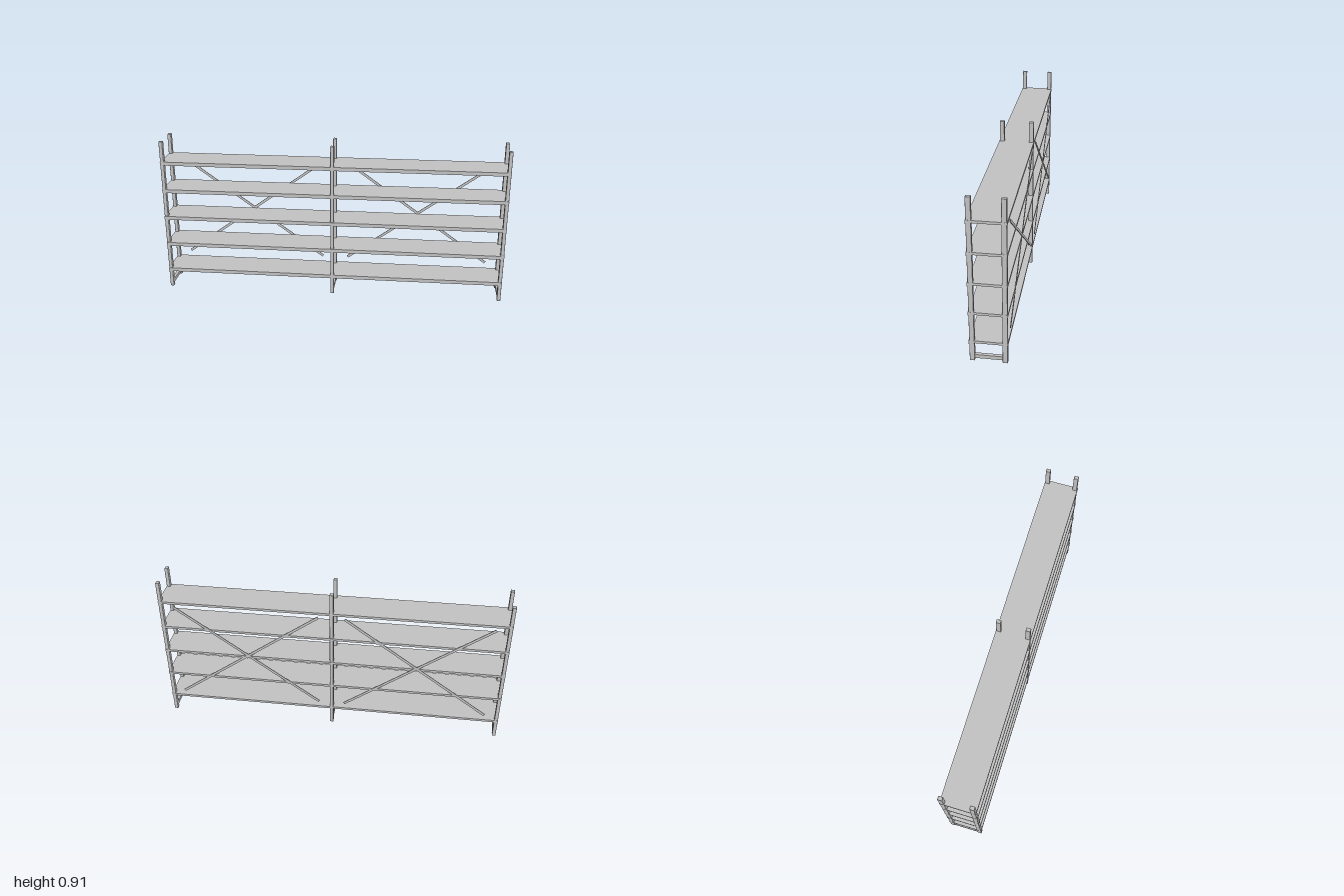
import * as THREE from 'three';
import { RoundedBoxGeometry } from 'three/addons/geometries/RoundedBoxGeometry.js';

export function createModel() {
  const model = new THREE.Group();
  model.name = 'shelvingRack';
  const steel = new THREE.MeshStandardMaterial({ color: 0xc0c0c0 });
  steel.name = 'greySteel';

  const add = (name, geometry, x, y, z, parent = model) => {
    const mesh = new THREE.Mesh(geometry, steel);
    mesh.name = name;
    mesh.position.set(x, y, z);
    parent.add(mesh);
    return mesh;
  };

  // Three upright frames: a post front and back, joined by a bar near the floor
  const height = 0.912;
  const postGeometry = new RoundedBoxGeometry(0.021, height, 0.026, 1, 0.002);
  const barGeometry = new THREE.BoxGeometry(0.018, 0.021, 0.15);
  for (const x of [-0.986, 0, 0.986]) {
    const frame = new THREE.Group();
    frame.name = 'uprightFrame';
    frame.position.x = x;
    add('frontPost', postGeometry, 0, height / 2, 0.084, frame);
    add('backPost', postGeometry, 0, height / 2, -0.083, frame);
    add('footBar', barGeometry, 0, 0.026, 0, frame);
    model.add(frame);
  }

  // Five shelves, each a thin deck with a deeper front lip
  const deckGeometry = new THREE.BoxGeometry(1.994, 0.014, 0.194);
  const lipGeometry = new THREE.BoxGeometry(1.994, 0.021, 0.004);
  for (let i = 0; i < 5; i++) {
    const top = 0.121 + i * 0.168;
    const shelf = new THREE.Group();
    shelf.name = 'shelf';
    add('deck', deckGeometry, 0, top - 0.007, -0.001, shelf);
    add('frontLip', lipGeometry, 0, top - 0.0105, 0.098, shelf);
    model.add(shelf);
  }

  // Crossed flat braces on the back of each bay
  const dx = 0.835, dy = 0.605;
  const braceGeometry = new THREE.BoxGeometry(Math.hypot(dx, dy), 0.015, 0.004);
  for (const x of [-0.493, 0.493]) {
    for (const side of [-1, 1]) {
      const brace = add('backBrace', braceGeometry, x, 0.459, -0.0975);
      brace.rotation.z = side * Math.atan2(dy, dx);
    }
  }

  return model;
}
